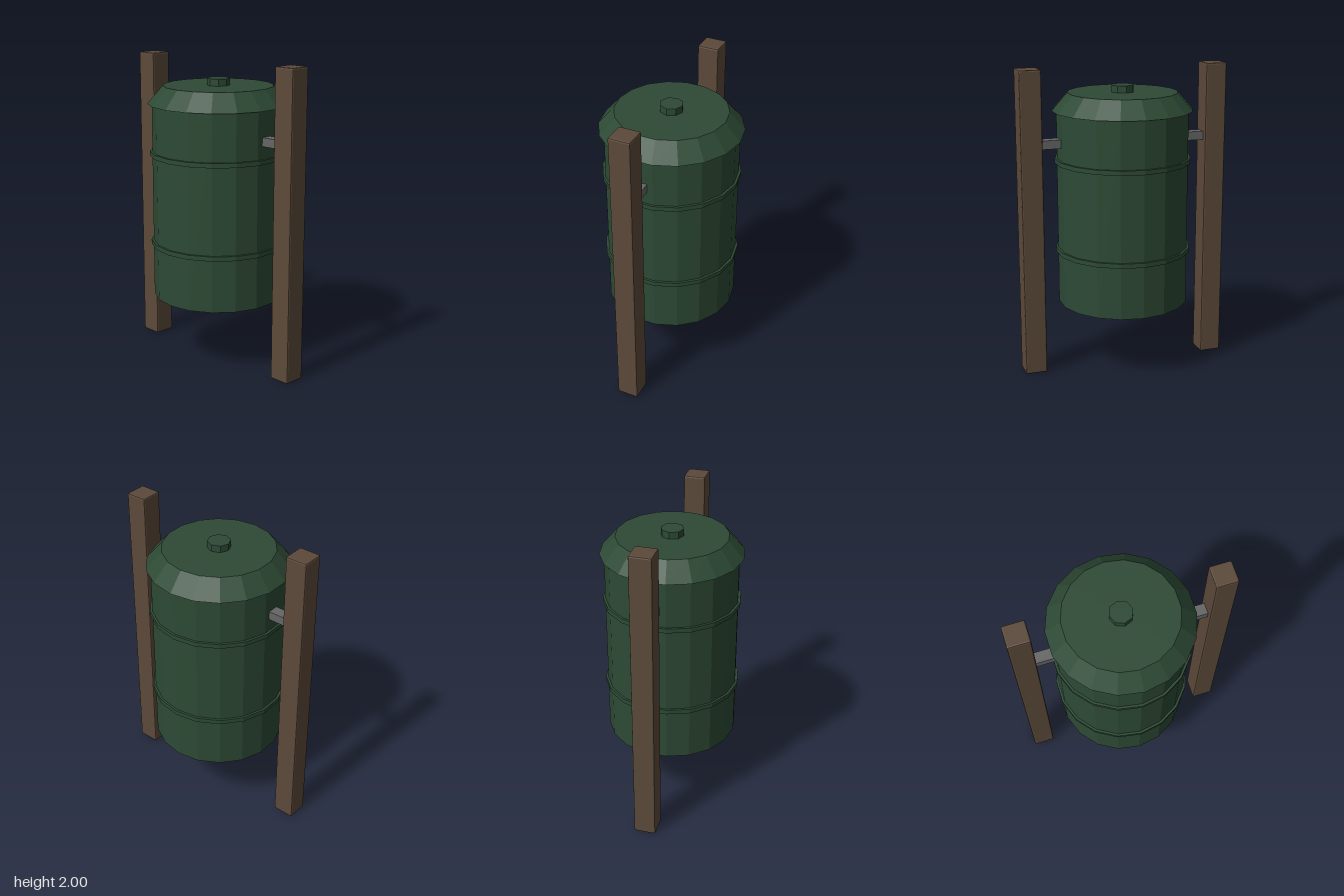
import * as THREE from 'three';
import { RoundedBoxGeometry } from 'three/addons/geometries/RoundedBoxGeometry.js';

const SIDES = 18;

export function createModel() {
  const model = new THREE.Group();
  model.name = 'hangingBin';

  const green = new THREE.MeshStandardMaterial({ color: 0x2d4a35, flatShading: true });
  const wood = new THREE.MeshStandardMaterial({ color: 0x5c4a3a, flatShading: true });
  const metal = new THREE.MeshStandardMaterial({ color: 0x666666, flatShading: true });

  const add = (name, geometry, material, x, y) => {
    const mesh = new THREE.Mesh(geometry, material);
    mesh.name = name;
    mesh.position.set(x, y, 0);
    model.add(mesh);
  };
  // Faceted drum between two heights
  const drum = (name, rTop, rBottom, y0, y1, sides = SIDES) =>
    add(name, new THREE.CylinderGeometry(rTop, rBottom, y1 - y0, sides), green, 0, (y0 + y1) / 2);

  // Barrel with its two hoops
  drum('barrel', 0.428, 0.428, 0.44, 1.72);
  drum('lowerHoop', 0.443, 0.443, 0.785, 0.815);
  drum('upperHoop', 0.443, 0.443, 1.38, 1.41);

  // Sloped lid and knob
  drum('lid', 0.357, 0.457, 1.717, 1.832);
  drum('lidKnob', 0.074, 0.074, 1.83, 1.877, 8);

  // Posts and the brackets that carry the barrel
  for (const [side, s] of [['left', 1], ['right', -1]]) {
    add(side + 'Post', new RoundedBoxGeometry(0.143, 2, 0.143, 1, 0.01), wood, s * 0.62, 1);
    add(side + 'Bracket', new THREE.BoxGeometry(0.18, 0.056, 0.072), metal, s * 0.48, 1.522);
  }

  return model;
}
